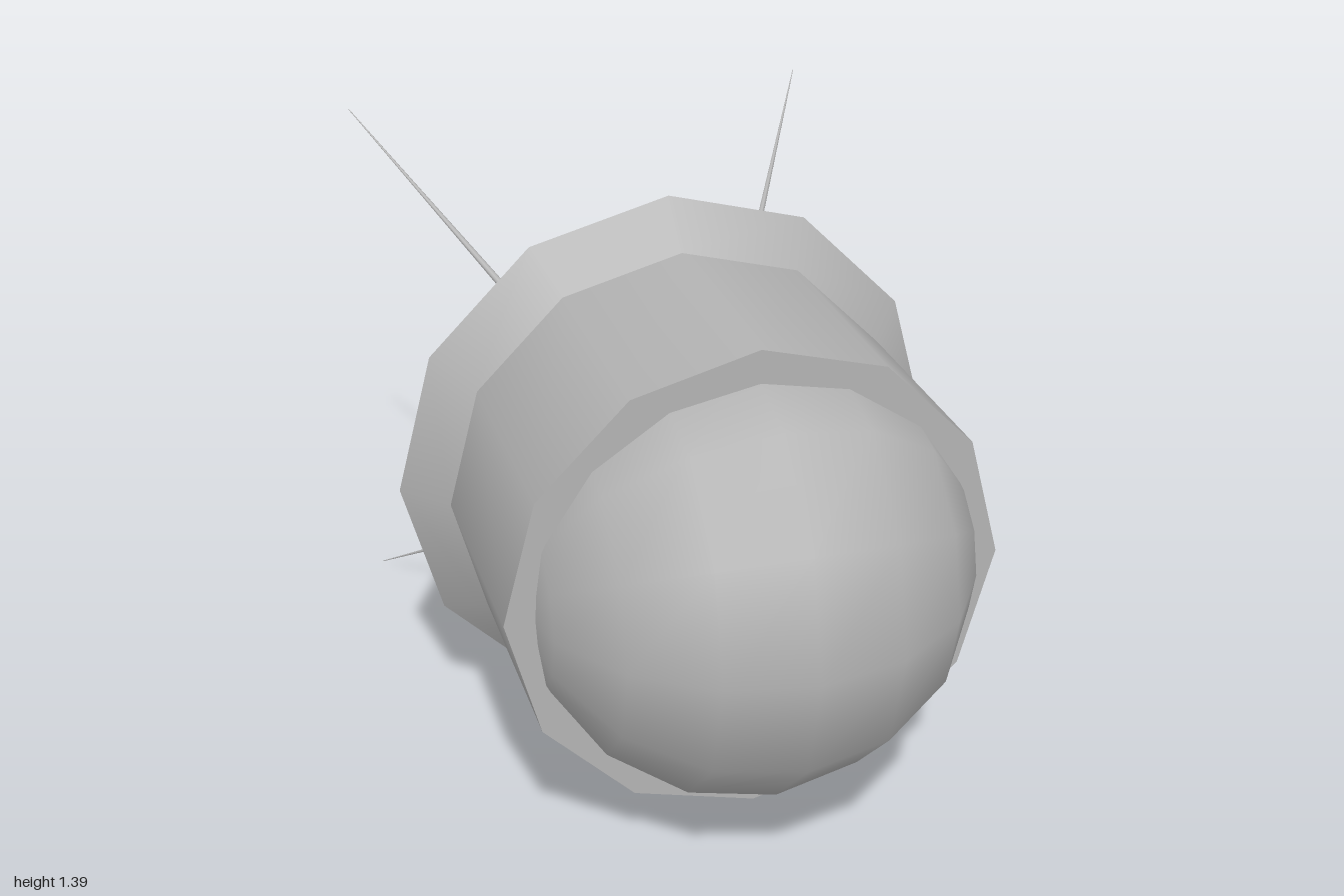
import * as THREE from 'three';

const hull = new THREE.MeshStandardMaterial({ color: 0xb3b3b3 });
hull.name = 'hullGrey';

const CENTRE_Y = 0.695;

export function createModel() {
  const model = new THREE.Group();
  model.name = 'capsule';

  const add = (name, geometry) => {
    const mesh = new THREE.Mesh(geometry, hull);
    mesh.name = name;
    mesh.position.y = CENTRE_Y;
    model.add(mesh);
    return mesh;
  };

  // Round section lying along z, given by the radii at its front and back
  const drum = (name, rFront, rBack, zFront, zBack, open = false) =>
    add(name, new THREE.CylinderGeometry(rFront, rBack, zFront - zBack, 12, 1, open)
      .rotateX(Math.PI / 2)
      .translate(0, 0, (zFront + zBack) / 2));

  // Half sphere bulging to +z, with its poles on the x axis
  const dome = () => new THREE.SphereGeometry(0.535, 6, 8, 0, Math.PI).rotateZ(Math.PI / 2);

  // Main body and the flared collar behind it
  drum('body', 0.585, 0.585, 0.575, -0.01);
  drum('collarFront', 0.585, 0.69, -0.01, -0.12, true);
  drum('collarBack', 0.69, 0.535, -0.12, -0.275);

  // Domes at both ends
  add('frontDome', dome().translate(0, 0, 0.465));
  add('backDome', dome().rotateY(Math.PI).translate(0, 0, 0.05));

  // Small hatch on the back dome
  drum('backHatch', 0.105, 0.105, -0.45, -0.489);

  // Four tapering antennas spreading backwards
  for (const sx of [-1, 1]) {
    for (const sy of [-1, 1]) {
      const base = new THREE.Vector3(sx * 0.25, sy * 0.253, -0.335);
      const tip = new THREE.Vector3(sx * 0.627, sy * 0.693, -1);
      const direction = tip.clone().sub(base);
      const length = direction.length();
      const turn = new THREE.Quaternion().setFromUnitVectors(
        new THREE.Vector3(0, 1, 0), direction.normalize());
      const middle = base.add(tip).multiplyScalar(0.5);
      add('antenna', new THREE.CylinderGeometry(0.001, 0.012, length, 8)
        .applyQuaternion(turn)
        .translate(middle.x, middle.y, middle.z));
    }
  }

  return model;
}
